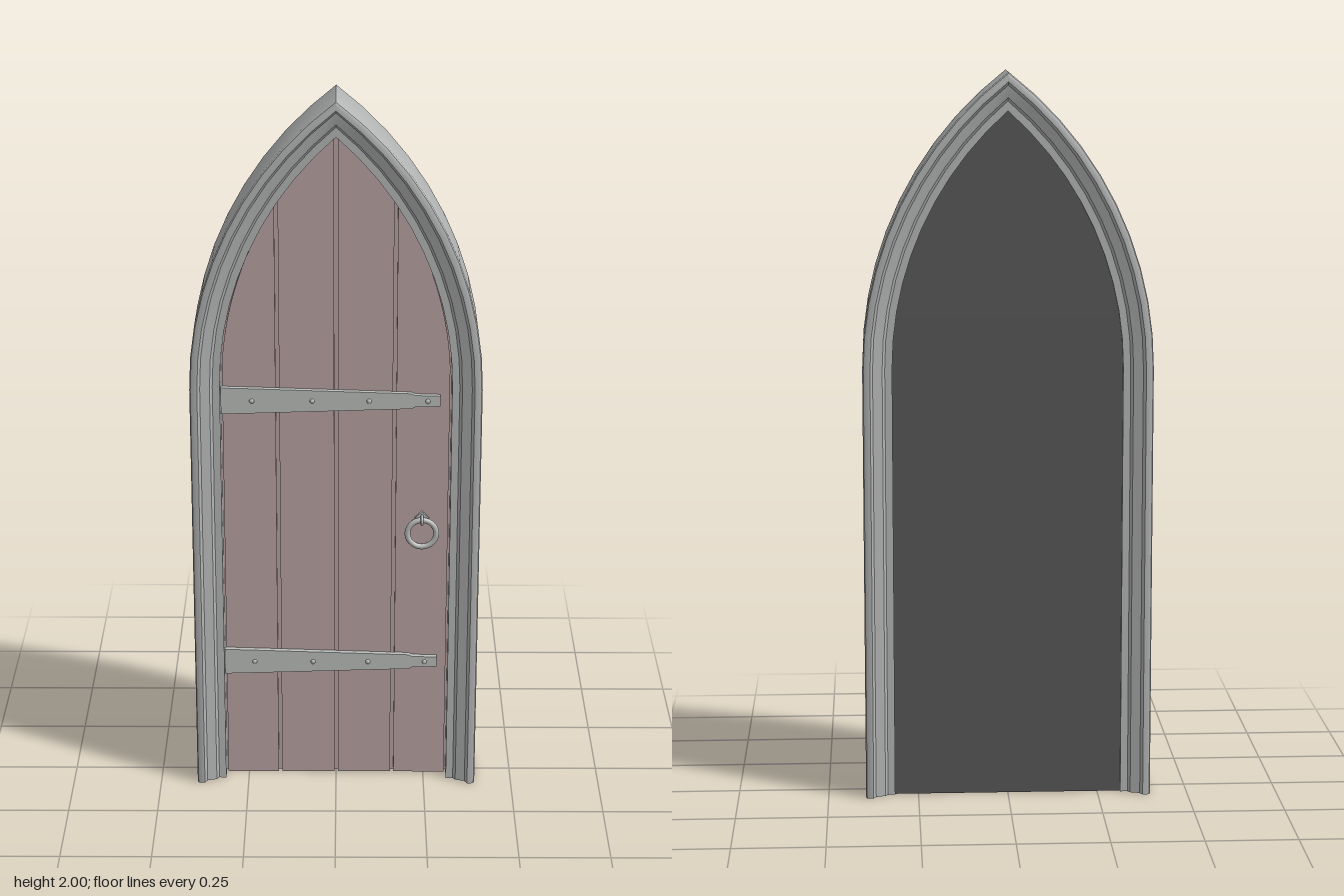
import * as THREE from 'three';
import { toCreasedNormals } from 'three/addons/utils/BufferGeometryUtils.js';

const SPRING = 1.2;    // height where the straight jambs meet the arch
const CENTRE = 0.613;  // arc centres lie this far beyond the middle line
const STEPS = 10;

// Height of the arch of half-width w above position x
function archHeight(w, x) {
  const r = w + CENTRE;
  return SPRING + Math.sqrt(Math.max(0, r * r - (Math.abs(x) + CENTRE) ** 2));
}

// Whole arch line of half-width w, from the +x foot over the point to the -x foot
function archLine(w) {
  const r = w + CENTRE, end = Math.acos(CENTRE / r), half = [[w, 0]];
  for (let i = 0; i <= STEPS; i++) {
    const a = end * i / STEPS;
    half.push([i === STEPS ? 0 : r * Math.cos(a) - CENTRE, SPRING + r * Math.sin(a)]);
  }
  const other = half.slice(0, -1).reverse().map(([x, y]) => [-x, y]);
  return half.concat(other);
}

// Sweep a closed (half-width, z) profile along the arch
function sweepArch(profile) {
  const lines = profile.map(([w]) => archLine(w));
  const n = profile.length, m = lines[0].length, pos = [], index = [];
  for (let j = 0; j < m; j++)
    for (let i = 0; i < n; i++) pos.push(lines[i][j][0], lines[i][j][1], profile[i][1]);
  for (let j = 0; j < m - 1; j++)
    for (let i = 0; i < n; i++) {
      const a = j * n + i, b = j * n + (i + 1) % n;
      index.push(a, b, a + n, b, b + n, a + n);
    }
  const g = new THREE.BufferGeometry();
  g.setAttribute('position', new THREE.Float32BufferAttribute(pos, 3));
  g.setIndex(index);
  return toCreasedNormals(g, 0.5);
}

// Slab between x0 and x1 whose top follows the arch, sampled closely at its ends
function archSlab(w, x0, x1, z, depth) {
  const pts = [new THREE.Vector2(x0, 0), new THREE.Vector2(x1, 0)];
  const n = 24;
  for (let i = 0; i <= n; i++) {
    const x = x1 + (x0 - x1) * (1 - Math.cos(Math.PI * i / n)) / 2;
    pts.push(new THREE.Vector2(x, archHeight(w, x)));
  }
  return new THREE.ExtrudeGeometry(new THREE.Shape(pts), { depth, bevelEnabled: false }).translate(0, 0, z);
}

export function createModel() {
  const model = new THREE.Group();
  const mat = (name, color) => {
    const m = new THREE.MeshStandardMaterial({ color });
    m.name = name;
    return m;
  };
  const stone = mat('stone grey', 0xb4b5b5);
  const wood = mat('dusty rose wood', 0xb7a1a0);
  const iron = mat('iron grey', 0xbabdbb);
  const dark = mat('dark backing', 0x575757);
  const add = (name, geometry, material, parent = model) => {
    const mesh = new THREE.Mesh(geometry, material);
    mesh.name = name;
    parent.add(mesh);
    return mesh;
  };

  // Moulded frame, the same on front and back
  const front = [[0.315, 0.058], [0.335, 0.058], [0.342, 0.068], [0.368, 0.076],
    [0.375, 0.09], [0.386, 0.09], [0.393, 0.087], [0.396, 0.08]];
  const back = front.slice().reverse().map(([w, z]) => [w, -z]);
  const profile = front.concat(back);
  add('frame', sweepArch(profile), stone);
  for (const s of [1, -1]) {
    const foot = new THREE.Shape(profile.map(([w, z]) => new THREE.Vector2(s * w, z)));
    add('frameFoot', new THREE.ShapeGeometry(foot).rotateX(Math.PI / 2), stone);
  }

  // Door leaf: dark back, solid core and four planks
  const door = new THREE.Group();
  door.name = 'door';
  model.add(door);
  add('backPanel', archSlab(0.319, -0.319, 0.319, -0.05, 0.005), dark, door);
  add('core', archSlab(0.319, -0.319, 0.319, -0.045, 0.05), wood, door);
  const joints = [-0.315, -0.16, 0, 0.16, 0.315], gap = 0.005;
  for (let i = 0; i < 4; i++)
    add('plank', archSlab(0.311, joints[i] + gap, joints[i + 1] - gap, 0.005, 0.015), wood, door);

  // Tapered strap hinges with low rivets
  const edge = [[-0.314, 0.038], [-0.24, 0.036], [0.205, 0.022], [0.215, 0.017], [0.284, 0.015]];
  const outline = edge.map(([x, y]) => new THREE.Vector2(x, -y))
    .concat(edge.slice().reverse().map(([x, y]) => new THREE.Vector2(x, y)));
  for (const y of [0.36, 1.15]) {
    const hinge = new THREE.Group();
    hinge.name = 'strapHinge';
    hinge.position.set(0, y, 0.02);
    door.add(hinge);
    add('strap', new THREE.ExtrudeGeometry(new THREE.Shape(outline), { depth: 0.015, bevelEnabled: false }), iron, hinge);
    for (const x of [-0.23, -0.065, 0.09, 0.25])
      add('rivet', new THREE.SphereGeometry(0.007, 10, 6).scale(1, 1, 0.7), iron, hinge).position.set(x, 0, 0.015);
  }

  // Ring handle hanging from a small plate and staple
  const handle = new THREE.Group();
  handle.name = 'handle';
  handle.position.set(0.238, 0.758, 0.02);
  door.add(handle);
  add('ring', new THREE.TorusGeometry(0.04, 0.008, 10, 28), iron, handle).position.z = 0.016;
  add('plate', new THREE.CylinderGeometry(0.02, 0.02, 0.008, 4).rotateX(Math.PI / 2), iron, handle).position.set(0, 0.042, 0.004);
  add('staple', new THREE.TorusGeometry(0.012, 0.004, 8, 16).rotateY(Math.PI / 2), iron, handle).position.set(0, 0.04, 0.016);

  return model;
}
